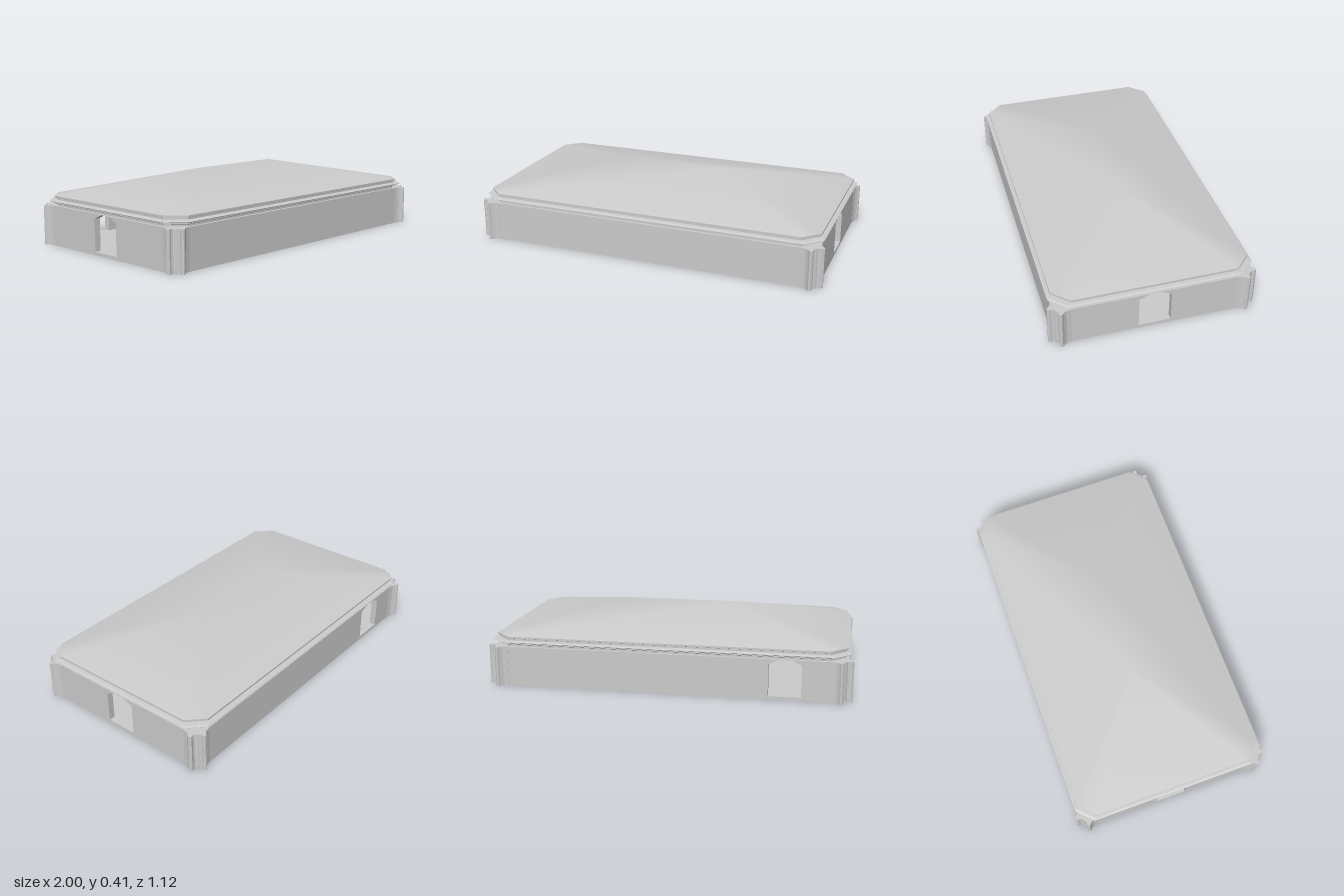
import * as THREE from 'three';

const WALL_H = 0.222, WALL_T = 0.035, FLOOR_H = 0.018;
const DIFF = 0.44; // half length minus half width, the same at every level
const CHAMFER = 0.085;

// Chamfered rectangle with half width b, counter-clockwise seen from above
function octagon(b, y) {
  const a = b + DIFF, c = CHAMFER;
  return [[a, b - c], [a, c - b], [a - c, -b], [c - a, -b],
    [-a, c - b], [-a, b - c], [c - a, b], [a - c, b]].map(([x, z]) => [x, y, z]);
}

// Skin over stacked octagons, given as [half width, height]
function loft(profile) {
  const loops = profile.map(([b, y]) => octagon(b, y));
  const pos = [];
  for (let i = 0; i + 1 < loops.length; i++) {
    for (let j = 0; j < 8; j++) {
      const k = (j + 1) % 8;
      const p = loops[i][j], q = loops[i][k], r = loops[i + 1][k], s = loops[i + 1][j];
      pos.push(...p, ...q, ...r, ...p, ...r, ...s);
    }
  }
  const g = new THREE.BufferGeometry();
  g.setAttribute('position', new THREE.Float32BufferAttribute(pos, 3));
  g.computeVertexNormals();
  return g;
}

// Hipped roof from the chamfered eave to a short ridge, with soft normals
function hipRoof(b, eaveY, ridgeY, ridgeHalf) {
  const pts = [...octagon(b, eaveY), [ridgeHalf, ridgeY, 0], [-ridgeHalf, ridgeY, 0]];
  const g = new THREE.BufferGeometry();
  g.setAttribute('position', new THREE.Float32BufferAttribute(pts.flat(), 3));
  g.setIndex([0, 1, 8, 1, 2, 8, 2, 3, 9, 2, 9, 8, 3, 4, 9,
    4, 5, 9, 5, 6, 9, 6, 7, 8, 6, 8, 9, 7, 0, 8]);
  g.computeVertexNormals();
  return g;
}

// Wall panel with an optional doorway that has a clipped top
function wallPanel(half, doorX) {
  const s = new THREE.Shape([[-half, 0], [half, 0], [half, WALL_H], [-half, WALL_H]]
    .map(p => new THREE.Vector2(...p)));
  if (doorX !== undefined) {
    const door = [[-0.088, FLOOR_H], [-0.088, 0.195], [-0.032, 0.22],
      [0.032, 0.22], [0.088, 0.195], [0.088, FLOOR_H]];
    s.holes.push(new THREE.Path(door.map(([x, y]) => new THREE.Vector2(x + doorX, y))));
  }
  return new THREE.ExtrudeGeometry(s, { depth: WALL_T, bevelEnabled: false });
}

// Corner post: two flared fins with a notch between them
function cornerPost(sx, sz) {
  const half = [[0.885, 0.5], [0.885, 0.536], [0.912, 0.541], [0.927, 0.551],
    [0.937, 0.562], [0.946, 0.562], [0.953, 0.553], [0.95, 0.541], [0.953, 0.53], [0.96, 0.525]];
  // The second half mirrors the first across the corner diagonal
  const other = half.map(([x, z]) => [z + DIFF, x - DIFF]).reverse();
  const shape = new THREE.Shape([...half, ...other, [0.91, 0.47]]
    .map(([x, z]) => new THREE.Vector2(x * sx, -z * sz)));
  const g = new THREE.ExtrudeGeometry(shape, { depth: WALL_H, bevelEnabled: false });
  return g.rotateX(-Math.PI / 2);
}

export function createModel() {
  const group = new THREE.Group();
  const solid = new THREE.MeshStandardMaterial({ color: 0xcccccc });
  const thin = new THREE.MeshStandardMaterial({ color: 0xcccccc, side: THREE.DoubleSide });
  const add = (name, geometry, material = solid) => {
    const m = new THREE.Mesh(geometry, material);
    m.name = name;
    group.add(m);
    return m;
  };

  // Floor slab
  add('floor', new THREE.BoxGeometry(1.93, FLOOR_H, 1.05)).position.y = FLOOR_H / 2;

  // Four walls: name, half length, outer distance, turn, doorway position
  const walls = [
    ['frontWall', 0.9, 0.535, 0, undefined],
    ['backWall', 0.9, 0.535, Math.PI, 0.645],
    ['leftWall', 0.46, 0.975, Math.PI / 2, 0],
    ['rightWall', 0.46, 0.975, -Math.PI / 2, 0],
  ];
  for (const [name, half, dist, turn, doorX] of walls) {
    const g = wallPanel(half, doorX).translate(0, 0, dist - WALL_T);
    add(name, g.rotateY(turn));
  }

  // Corner posts
  for (const sx of [1, -1]) {
    for (const sz of [1, -1]) {
      add(`${sz > 0 ? 'front' : 'back'}${sx > 0 ? 'Left' : 'Right'}Post`, cornerPost(sx, sz));
    }
  }

  // Stepped cornice with a thin projecting band under the eave
  add('cornice', loft([
    [0.49, 0.22], [0.52, 0.22], [0.52, 0.231], [0.53, 0.235], [0.53, 0.242], [0.542, 0.244],
    [0.551, 0.248], [0.551, 0.25], [0.542, 0.254], [0.522, 0.256], [0.522, 0.265],
    [0.531, 0.268], [0.531, 0.278],
  ]), thin);

  // Roof
  add('roof', hipRoof(0.531, 0.278, 0.41, 0.295), thin);

  return group;
}
